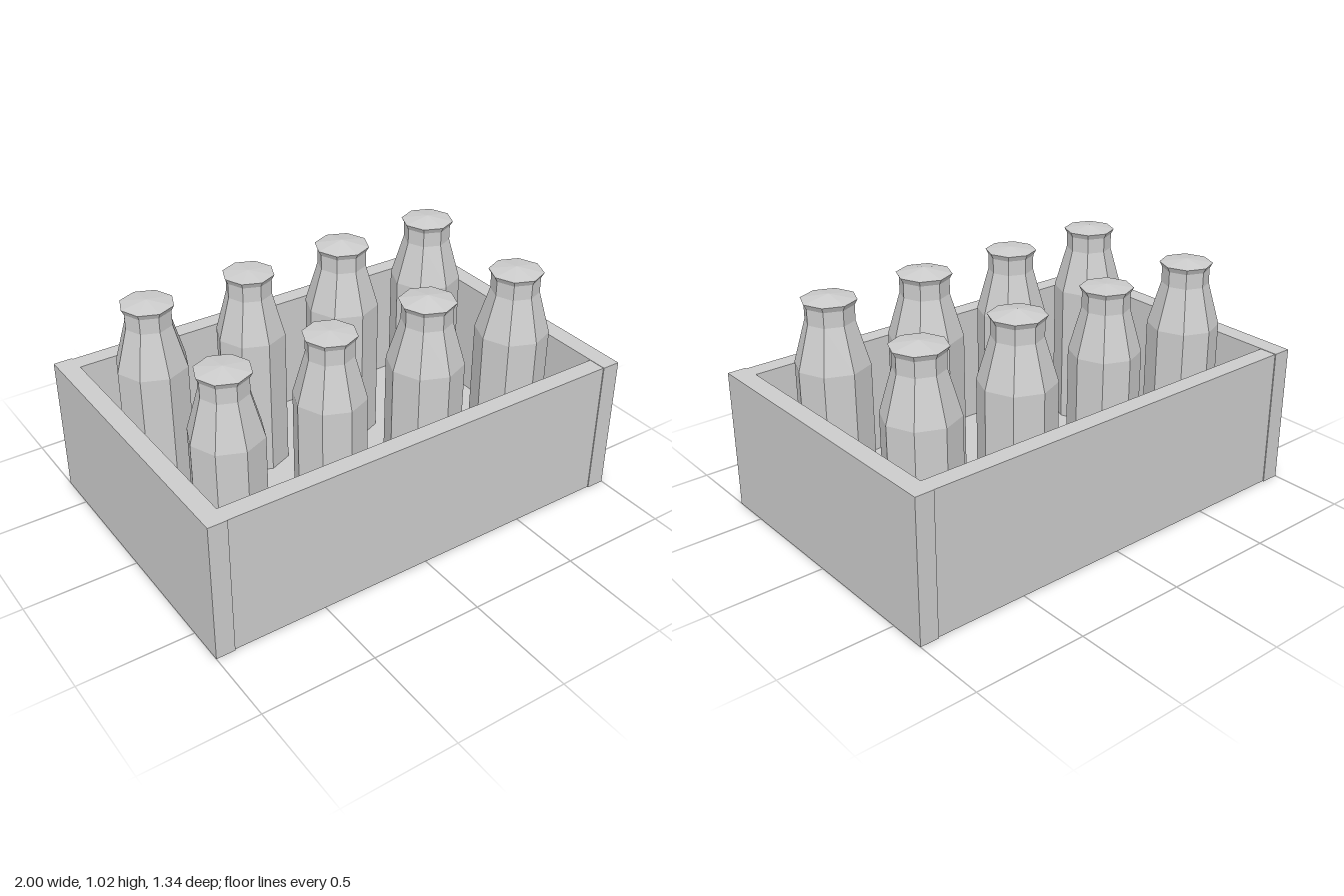
import * as THREE from 'three';

export function createModel() {
  const model = new THREE.Group();
  const grey = new THREE.MeshStandardMaterial({ color: 0xcccccc });
  grey.name = 'light grey';
  grey.flatShading = true;

  const H = 0.63, T = 0.083, FLOOR = 0.08;

  function board(name, w, h, d, x, y, z) {
    const mesh = new THREE.Mesh(new THREE.BoxGeometry(w, h, d), grey);
    mesh.name = name;
    mesh.position.set(x, y, z);
    return mesh;
  }

  // Open crate: end boards stand slightly proud of the long boards
  const crate = new THREE.Group();
  crate.name = 'crate';
  for (const s of [-1, 1]) {
    crate.add(board(s > 0 ? 'leftEnd' : 'rightEnd', T, H, 1.34, s * (1 - T / 2), H / 2, 0));
    crate.add(board(s > 0 ? 'frontBoard' : 'backBoard', 2 - 2 * T, H - 0.004, 0.08, 0, H / 2, s * 0.626));
  }
  crate.add(board('floor', 2 - 2 * T, FLOOR - 0.003, 1.18, 0, FLOOR / 2 + 0.0015, 0));
  model.add(crate);

  // Eight-sided bottles with a flared lip and a shallow pointed cap
  function bottle(radius, top) {
    const k = radius / 0.165;
    const group = new THREE.Group();
    group.name = 'bottle';
    const profile = [
      [0, FLOOR], [0.165, FLOOR], [0.165, 0.72], [0.108, 0.91], [0.108, 0.977], [0.121, 1.0],
    ].map(([r, y]) => new THREE.Vector2(r * k, y));
    const body = new THREE.Mesh(new THREE.LatheGeometry(profile, 8), grey);
    body.name = 'bottleBody';
    const capHeight = top - 1;
    const cap = new THREE.Mesh(new THREE.ConeGeometry(0.121 * k, capHeight, 8, 1, true), grey);
    cap.name = 'bottleCap';
    cap.position.y = 1 + capHeight / 2;
    group.add(body, cap);
    return group;
  }

  // Columns: x, radius, top height
  const columns = [
    [-0.71, 0.156, 1.017], [-0.237, 0.153, 1.013], [0.237, 0.165, 1.025], [0.707, 0.16, 1.02],
  ];
  for (const [x, radius, top] of columns) {
    for (const s of [-1, 1]) {
      const b = bottle(radius, top);
      b.position.set(x, 0, s * 0.307);
      model.add(b);
    }
  }
  return model;
}
